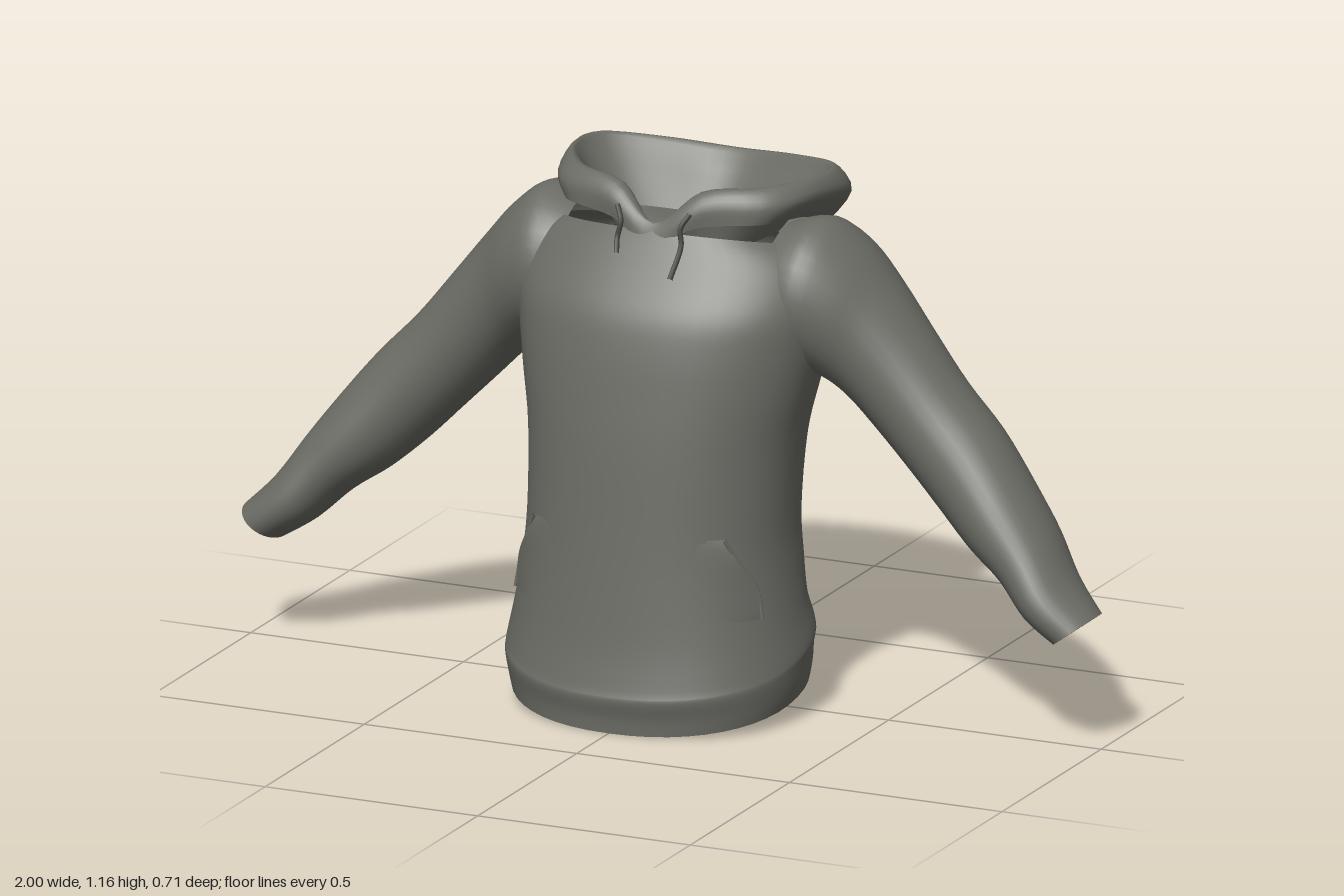
import * as THREE from 'three';

const fabric = new THREE.MeshStandardMaterial({ color: 0x6c6c66, side: THREE.DoubleSide });
fabric.name = 'grey fabric';
const lining = new THREE.MeshStandardMaterial({ color: 0x2a2a29 });
lining.name = 'dark lining';
const cord = new THREE.MeshStandardMaterial({ color: 0x454542 });
cord.name = 'dark cord';

// Catmull-Rom subdivision of rows of numbers
function smooth(rows, n, closed = false) {
  const m = rows.length, out = [];
  const at = i => rows[closed ? (i + m) % m : Math.min(m - 1, Math.max(0, i))];
  const segs = closed ? m : m - 1;
  for (let i = 0; i < segs; i++) {
    const [a, b, c, d] = [at(i - 1), at(i), at(i + 1), at(i + 2)];
    for (let k = 0; k < n; k++) {
      const t = k / n;
      out.push(b.map((v, j) => {
        const cubic = 3 * (v - c[j]) + d[j] - a[j];
        const square = 2 * a[j] - 5 * v + 4 * c[j] - d[j];
        return v + 0.5 * t * (c[j] - a[j] + t * (square + t * cubic));
      }));
    }
  }
  if (!closed) out.push(rows[m - 1]);
  return out;
}

// Skin over a series of rings of points
function loft(rings, closed = true) {
  const n = rings[0].length, index = [];
  for (let j = 0; j < rings.length - 1; j++) {
    for (let i = 0; i < (closed ? n : n - 1); i++) {
      const a = j * n + i, b = j * n + (i + 1) % n;
      index.push(a, b, b + n, a, b + n, a + n);
    }
  }
  const g = new THREE.BufferGeometry();
  g.setAttribute('position', new THREE.Float32BufferAttribute(rings.flat(2), 3));
  g.setIndex(index);
  g.computeVertexNormals();
  return g;
}

// Flat end: the ring collapsed to its centre
function cap(ring) {
  const c = [0, 1, 2].map(k => ring.reduce((s, p) => s + p[k], 0) / ring.length);
  return loft([ring, ring.map(() => c)]);
}

// Torso sections: y at front, y at back, half width, z front, z back
const SIDES = 48, ROUND = 0.92;
const torsoRows = smooth([
  [0, 0.10, 0.322, 0.34, -0.187],
  [0.035, 0.14, 0.331, 0.343, -0.187],
  [0.075, 0.19, 0.335, 0.353, -0.188],
  [0.10, 0.215, 0.335, 0.347, -0.199],
  [0.18, 0.28, 0.319, 0.331, -0.178],
  [0.30, 0.36, 0.304, 0.316, -0.185],
  [0.42, 0.45, 0.296, 0.303, -0.187],
  [0.60, 0.60, 0.303, 0.285, -0.205],
  [0.72, 0.72, 0.325, 0.268, -0.23],
  [0.82, 0.81, 0.345, 0.25, -0.262],
  [0.90, 0.88, 0.355, 0.225, -0.266],
  [0.98, 0.93, 0.35, 0.172, -0.258],
  [1.03, 0.96, 0.32, 0.14, -0.245],
  [1.06, 0.98, 0.275, 0.122, -0.23],
], 4);
const bend = v => Math.sign(v) * Math.abs(v) ** ROUND;

function torsoPoint([yf, yb, w, zf, zb], t) {
  const z = (zf + zb) / 2 + bend(Math.cos(t)) * (zf - zb) / 2;
  return [w * bend(Math.sin(t)), yf + (yb - yf) * (zf - z) / (zf - zb), z];
}

// Depth of the front of the torso at a given x and y
function frontZ(x, y) {
  let last;
  for (const row of torsoRows) {
    const s = Math.min(1, Math.abs(x) / row[2]) ** (1 / ROUND);
    const p = torsoPoint(row, Math.asin(s));
    if (last && p[1] >= y) return last[2] + (p[2] - last[2]) * (y - last[1]) / (p[1] - last[1]);
    last = p;
  }
  return last[2];
}

// Sleeve sections: upper x, y; lower x, y; z front, z back
const sleeveRows = smooth([
  [0.24, 1.06, 0.24, 0.80, 0.09, -0.20],
  [0.325, 1.08, 0.285, 0.745, 0.105, -0.225],
  [0.40, 1.03, 0.335, 0.73, 0.085, -0.235],
  [0.47, 0.95, 0.39, 0.69, 0.055, -0.222],
  [0.55, 0.85, 0.46, 0.62, 0.04, -0.202],
  [0.63, 0.75, 0.54, 0.54, 0.04, -0.19],
  [0.72, 0.655, 0.61, 0.47, 0.05, -0.185],
  [0.80, 0.555, 0.69, 0.40, 0.07, -0.165],
  [0.87, 0.46, 0.77, 0.345, 0.085, -0.138],
  [0.93, 0.37, 0.84, 0.28, 0.105, -0.10],
  [0.998, 0.30, 0.91, 0.235, 0.10, -0.06],
], 4);

function sleeveRings(side) {
  return sleeveRows.map(([ux, uy, lx, ly, zf, zb]) => {
    const ring = [];
    for (let i = 0; i < 32; i++) {
      const a = i / 32 * Math.PI * 2, c = Math.cos(a), s = Math.sin(a);
      ring.push([side * ((ux + lx) / 2 + c * (ux - lx) / 2),
        (uy + ly) / 2 + c * (uy - ly) / 2, (zf + zb) / 2 + s * (zf - zb) / 2]);
    }
    return side > 0 ? ring : ring.reverse();
  });
}

// Hood stations from front centre to back centre, each a profile:
// outer seam, bulge, rim, inner lip, inner floor (x, y, z)
const hoodHalf = [
  [0, 1.03, 0.132, 0, 1.055, 0.124, 0, 1.075, 0.112, 0, 1.06, 0.095, 0, 0.99, 0.05],
  [0.10, 1.075, 0.108, 0.11, 1.118, 0.105, 0.10, 1.145, 0.082, 0.085, 1.125, 0.055, 0.06, 1.0, 0.03],
  [0.23, 1.085, 0.06, 0.25, 1.125, 0.045, 0.22, 1.157, 0.03, 0.19, 1.13, 0.01, 0.13, 1.0, 0],
  [0.27, 1.07, -0.08, 0.306, 1.12, -0.10, 0.288, 1.158, -0.10, 0.265, 1.13, -0.10, 0.19, 1.02, -0.10],
  [0.25, 1.01, -0.20, 0.304, 1.09, -0.235, 0.275, 1.155, -0.21, 0.25, 1.125, -0.195, 0.17, 1.02, -0.15],
  [0.14, 0.94, -0.265, 0.18, 1.03, -0.333, 0.15, 1.138, -0.283, 0.13, 1.10, -0.25, 0.09, 1.01, -0.19],
  [0, 0.908, -0.29, 0, 1.02, -0.356, 0, 1.125, -0.315, 0, 1.08, -0.28, 0, 1.0, -0.21],
];

function hoodRings() {
  const mirrored = hoodHalf.slice(1, -1).reverse().map(r => r.map((v, k) => (k % 3 ? v : -v)));
  const around = smooth([...hoodHalf, ...mirrored], 5, true).map(s =>
    smooth([0, 3, 6, 9, 12].map(k => s.slice(k, k + 3)), 4));
  return around[0].map((_, j) => around.map(s => s[j]));
}

// Pocket opening on one side, bottom to top
const slit = smooth([[0.288, 0.25], [0.275, 0.32], [0.245, 0.38], [0.222, 0.43]], 4);

function pocketRings() {
  return slit.map(([edge, y], j) => {
    const row = [], swell = Math.sin(Math.PI * (0.1 + 0.8 * j / (slit.length - 1)));
    for (let i = 0; i <= 32; i++) {
      const u = i / 16 - 1, lift = 0.014 * swell * u ** 6 - 0.002;
      row.push([u * (edge + lift * 0.5), y, frontZ(u * edge, y) + lift]);
    }
    return row;
  });
}

function tube(points, radius) {
  const curve = new THREE.CatmullRomCurve3(points.map(p => new THREE.Vector3(...p)));
  return new THREE.TubeGeometry(curve, 20, radius, 8);
}

export function createModel() {
  const model = new THREE.Group();
  model.name = 'hoodedSweater';
  const add = (name, geometry, material = fabric) => {
    const mesh = new THREE.Mesh(geometry, material);
    mesh.name = name;
    model.add(mesh);
  };

  // Body and closed hem
  const body = torsoRows.map(row => Array.from({ length: SIDES },
    (_, i) => torsoPoint(row, i / SIDES * Math.PI * 2)));
  add('torso', loft(body));
  add('hemOpening', cap([...body[0]].reverse()), lining);

  // Hood with its inside
  const hood = hoodRings();
  add('hood', loft(hood));
  add('neckLining', cap(hood[hood.length - 1]));

  add('pocketPanel', loft(pocketRings(), false));

  for (const side of [1, -1]) {
    const name = side > 0 ? 'left' : 'right';
    const rings = sleeveRings(side);
    add(name + 'Sleeve', loft(rings));
    add(name + 'CuffEnd', cap(rings[rings.length - 1]));

    // Pocket edge and drawstring lie on the front of the body
    add(name + 'PocketEdge', tube(slit.map(([x, y]) =>
      [side * (x + 0.002), y, frontZ(x, y) + 0.006]), 0.004));
    const end = side > 0 ? 0.975 : 1.01;
    const path = [[0.085, 1.105, 0.112], [0.07, 1.075, 0.128],
      [0.075, 1.04, frontZ(0.075, 1.04) + 0.006], [0.068, end, frontZ(0.068, end) + 0.005]];
    add(name + 'Drawstring', tube(path.map(([x, y, z]) => [side * x, y, z]), 0.006), cord);
  }
  return model;
}
